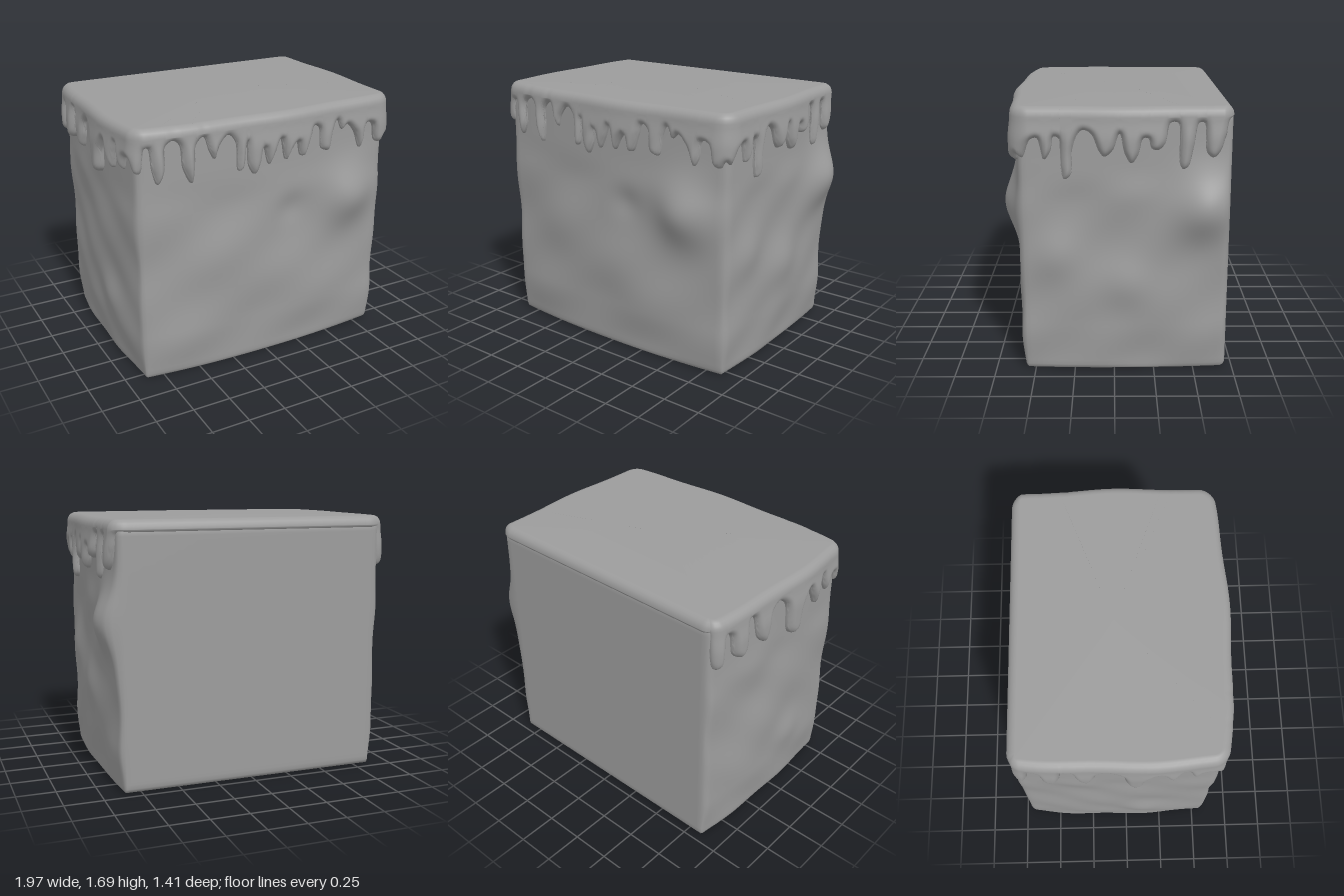
import * as THREE from 'three';
import { mergeVertices } from 'three/addons/utils/BufferGeometryUtils.js';

const HX = 0.88, ZB = -0.705, ZF = 0.575, TOP = 1.69;
const ZC = (ZB + ZF) / 2, HZ = (ZF - ZB) / 2, R = 0.06;
const clamp = THREE.MathUtils.clamp, smooth = THREE.MathUtils.smoothstep;

// Gentle outward bow of the front and sides, shared by block and icing
function warp(p) {
  const x = p.x, z = p.z;
  p.x *= 1 + (x < 0 ? 0.045 : 0.035) * (1 - (z / 0.7) ** 2);
  p.z += 0.055 * (1 - (x / HX) ** 2) * smooth(z, 0, 0.55);
  return p;
}

// Lumps on the block: [x, y, z, height, radius]
const lumps = [
  [0.88, 1.07, -0.57, 0.1, 0.2], [0.88, 0.57, -0.1, 0.035, 0.16], [0.88, 0.75, 0.35, 0.02, 0.15],
  [0.6, 1.05, 0.57, 0.085, 0.19], [0.15, 1.03, 0.57, -0.02, 0.1], [-0.4, 0.75, 0.57, 0.015, 0.25],
  [0.2, 0.5, 0.57, 0.02, 0.25], [-0.88, 0.42, 0.1, 0.025, 0.14], [-0.88, 1.15, -0.3, 0.015, 0.15],
];
function relief(p) {
  const n = Math.sin(p.x * 5 + p.y * 2 + 1) * Math.sin(p.y * 6 - p.z * 5) +
    0.7 * Math.sin(p.z * 11 + p.y * 5) * Math.sin(p.x * 8 - p.y * 9 + 2);
  let f = 0.009 * n * (1 - smooth(p.y, 1.1, 1.35)) - 0.02 * (1 - smooth(p.y, 0, 0.3));
  for (const [x, y, z, h, r] of lumps) {
    f += h * Math.exp(-((p.x - x) ** 2 + (p.y - y) ** 2 + (p.z - z) ** 2) / (r * r));
  }
  return f;
}

// Rounded block with uneven front and sides, flat back and base
function blockGeometry() {
  const h = 1.65, r = 0.035;
  let g = new THREE.BoxGeometry(2 * HX, h, 2 * HZ, 56, 56, 48);
  g.deleteAttribute('uv');
  g.deleteAttribute('normal');
  g = mergeVertices(g, 1e-4);
  const pos = g.attributes.position, p = new THREE.Vector3(), dir = new THREE.Vector3();
  const inner = new THREE.Vector3(HX - r, h / 2 - r, HZ - r), low = inner.clone().negate();
  for (let i = 0; i < pos.count; i++) {
    p.fromBufferAttribute(pos, i);
    const core = p.clone().clamp(low, inner);
    dir.copy(p).sub(core).normalize();
    p.copy(core).addScaledVector(dir, r);
    p.y += h / 2;
    p.z += ZC;
    const f = relief(p);
    p.x += dir.x * f;
    p.z += Math.max(dir.z, 0) * f;
    warp(p);
    pos.setXYZ(i, p.x, p.y, p.z);
  }
  g.computeVertexNormals();
  return g;
}

// Lower edge of the icing: pairs of position along the side, height
const leftDrips = [-0.69, 1.4, -0.66, 1.36, -0.62, 1.39, -0.59, 1.57, -0.55, 1.55, -0.52, 1.4, -0.47, 1.36,
  -0.42, 1.4, -0.39, 1.59, -0.35, 1.58, -0.3, 1.41, -0.24, 1.36, -0.2, 1.44, -0.18, 1.54, -0.12, 1.58,
  -0.04, 1.53, 0, 1.32, 0.04, 1.28, 0.1, 1.31, 0.13, 1.46, 0.2, 1.54, 0.25, 1.45, 0.29, 1.38, 0.33, 1.5,
  0.36, 1.56, 0.4, 1.45, 0.43, 1.41, 0.47, 1.5, 0.51, 1.51, 0.55, 1.42];
const frontDrips = [-0.86, 1.42, -0.83, 1.57, -0.81, 1.57, -0.79, 1.43, -0.76, 1.34, -0.72, 1.41,
  -0.71, 1.57, -0.66, 1.6, -0.62, 1.57, -0.6, 1.42, -0.55, 1.32, -0.53, 1.41, -0.52, 1.56, -0.47, 1.6,
  -0.43, 1.5, -0.4, 1.45, -0.37, 1.53, -0.31, 1.59, -0.26, 1.54, -0.24, 1.35, -0.21, 1.36, -0.185, 1.53,
  -0.17, 1.37, -0.13, 1.31, -0.09, 1.38, -0.07, 1.48, -0.03, 1.36, 0.01, 1.43, 0.05, 1.52, 0.09, 1.37,
  0.14, 1.45, 0.17, 1.48, 0.2, 1.38, 0.23, 1.38, 0.275, 1.49, 0.3, 1.56, 0.34, 1.54, 0.36, 1.4, 0.42, 1.38,
  0.45, 1.51, 0.48, 1.57, 0.52, 1.5, 0.56, 1.53, 0.62, 1.47, 0.67, 1.35, 0.7, 1.4, 0.72, 1.51, 0.77, 1.5,
  0.8, 1.38, 0.84, 1.36, 0.87, 1.4];
const rightDrips = [0.55, 1.38, 0.5, 1.49, 0.46, 1.5, 0.42, 1.37, 0.38, 1.42, 0.36, 1.51, 0.33, 1.5, 0.32, 1.32,
  0.3, 1.25, 0.26, 1.28, 0.25, 1.43, 0.22, 1.52, 0.19, 1.55, 0.14, 1.53, 0.09, 1.42, 0.06, 1.39, 0.01, 1.43,
  -0.03, 1.53, -0.06, 1.41, -0.1, 1.35, -0.14, 1.4, -0.17, 1.5, -0.2, 1.5, -0.22, 1.44, -0.26, 1.43, -0.3, 1.47,
  -0.33, 1.59, -0.375, 1.59, -0.39, 1.34, -0.41, 1.31, -0.44, 1.33, -0.47, 1.45, -0.5, 1.59, -0.53, 1.59,
  -0.55, 1.41, -0.59, 1.38, -0.63, 1.42, -0.66, 1.52, -0.68, 1.6];

// Distance s runs left side, front, right side, back
const S1 = 2 * HZ, S2 = S1 + 2 * HX, S3 = S2 + 2 * HZ, S4 = S3 + 2 * HX;
function outline(s) {
  const x = s < S1 ? -HX : s < S2 ? s - S1 - HX : s < S3 ? HX : HX - (s - S3);
  const z = s < S1 ? s - HZ : s < S2 ? HZ : s < S3 ? HZ - (s - S2) : -HZ;
  const cx = clamp(x, R - HX, HX - R), cz = clamp(z, R - HZ, HZ - R);
  const l = Math.hypot(x - cx, z - cz), nx = (x - cx) / l, nz = (z - cz) / l;
  return { x: cx + nx * R, z: cz + nz * R + ZC, nx, nz };
}

// Icing: rounded lip on top, drips hanging on three sides, short lip at the back
function icingGeometry() {
  const path = [new THREE.Vector3(0, 1.61, 0)];
  const add = (list, toS) => {
    for (let i = 0; i < list.length; i += 2) path.push(new THREE.Vector3(toS(list[i]), list[i + 1], 0));
  };
  add(leftDrips, (z) => z - ZB);
  add(frontDrips, (x) => S1 + x + HX);
  add(rightDrips, (z) => S2 + ZF - z);
  add([S3, 1.61, S3 + 0.1, 1.61, S4 - 0.1, 1.61, S4, 1.61], (s) => s);
  const edgeCurve = new THREE.CatmullRomCurve3(path, false, 'centripetal');
  edgeCurve.arcLengthDivisions = 3000;
  const cols = edgeCurve.getSpacedPoints(1100).slice(0, -1);

  const rows = 14, lip = 5, lipY = TOP - R, per = rows + lip + 1;
  const verts = [], index = [], p = new THREE.Vector3();
  for (const { x: s, y: edge } of cols) {
    const o = outline(s), back = Math.max(0, -o.nz);
    const base = 0.035 - 0.023 * back + 0.006 * Math.sin(s * 9) * (1 - back);
    const put = (off, y) => {
      warp(p.set(o.x + o.nx * off, y, o.z + o.nz * off));
      verts.push(p.x, p.y, p.z);
    };
    let off = 0;
    for (let j = 0; j <= rows; j++) {
      const y = edge + (lipY - edge) * (j / rows) ** 1.5;
      let d = 1;
      for (const c of cols) d = Math.min(d, Math.hypot(c.x - s, c.y - y));
      const t = 1 - Math.min(d / 0.045, 1);
      // drips swell a little below the lip
      const thick = base + 0.015 * smooth(lipY - y, 0, 0.15);
      off = -0.012 + (thick + 0.012) * Math.sqrt(1 - t * t);
      put(off, y);
    }
    for (let j = 1; j <= lip; j++) {
      const a = j / lip * Math.PI / 2;
      put(off - R * (1 - Math.cos(a)), lipY + R * Math.sin(a));
    }
  }
  const n = cols.length, centre = n * per;
  verts.push(0, TOP, ZC);
  for (let i = 0; i < n; i++) {
    const a = i * per, b = ((i + 1) % n) * per;
    for (let j = 0; j < per - 1; j++) {
      index.push(a + j, b + j, b + j + 1, a + j, b + j + 1, a + j + 1);
    }
    index.push(a + per - 1, b + per - 1, centre);
  }
  const g = new THREE.BufferGeometry();
  g.setAttribute('position', new THREE.Float32BufferAttribute(verts, 3));
  g.setIndex(index);
  g.computeVertexNormals();
  return g;
}

export function createModel() {
  const group = new THREE.Group();
  const add = (name, geometry, side) => {
    const mesh = new THREE.Mesh(geometry, new THREE.MeshStandardMaterial({ color: 0x9c9c9c, side }));
    mesh.name = name;
    group.add(mesh);
  };
  add('block', blockGeometry(), THREE.FrontSide);
  add('drippingIcing', icingGeometry(), THREE.DoubleSide);
  return group;
}
